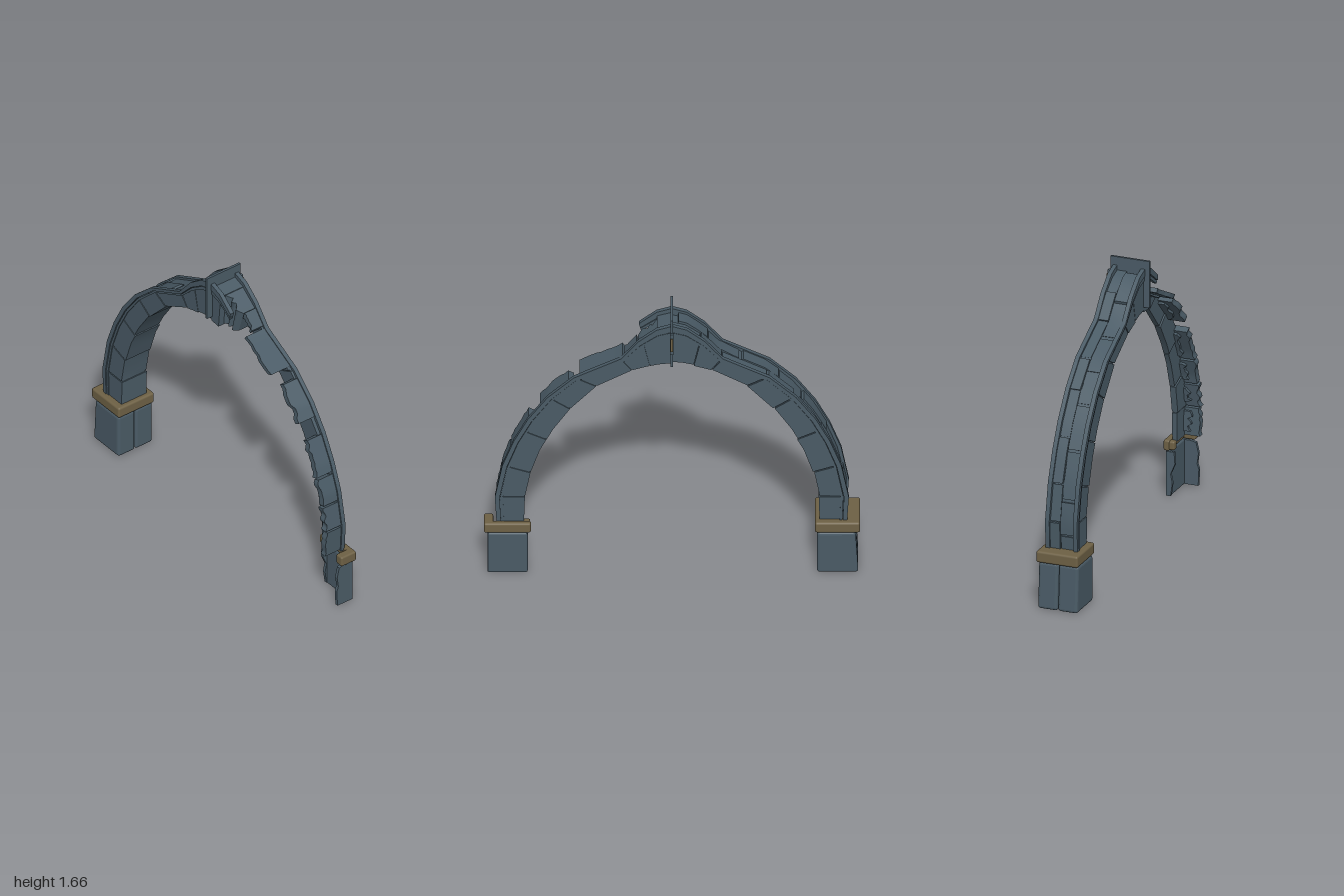
import * as THREE from 'three';
import { RoundedBoxGeometry } from 'three/addons/geometries/RoundedBoxGeometry.js';

const slate = new THREE.MeshStandardMaterial({ color: 0x4a5b66, side: THREE.DoubleSide });
slate.name = 'slate stone';
const ochre = new THREE.MeshStandardMaterial({ color: 0x6e6145, side: THREE.DoubleSide });
ochre.name = 'ochre stone';

// matching stations of the outer and inner arch curves, springing to apex
const OUTER = [[.93, .31], [.94, .48], [.90, .69], [.84, .85], [.765, .995], [.66, 1.14],
  [.52, 1.27], [.27, 1.395], [.175, 1.51], [.08, 1.585], [0, 1.61]];
const INNER = [[.785, .31], [.78, .48], [.75, .64], [.70, .79], [.63, .925], [.54, 1.06],
  [.40, 1.21], [.21, 1.315], [.13, 1.34], [.06, 1.355], [0, 1.36]];
const { lerp } = THREE.MathUtils;

// point on the arch: t along the curve, f from outer (0) to inner (1)
function archPoint(side, t, f) {
  const i = Math.min(9, Math.floor(t)), k = t - i;
  const at = (c, a) => lerp(c[i][a], c[i + 1][a], k);
  return [side * lerp(at(OUTER, 0), at(INNER, 0), f), lerp(at(OUTER, 1), at(INNER, 1), f)];
}

let seed = 7;
const rand = () => (seed = (seed * 16807) % 2147483647) / 2147483647;

export function createModel() {
  const model = new THREE.Group();
  const add = (name, geo, mat = slate, x = 0, y = 0, z = 0) => {
    const m = new THREE.Mesh(geo, mat);
    m.name = name;
    m.position.set(x, y, z);
    model.add(m);
    return m;
  };

  // a block bent along the arch, with an optionally broken front edge
  function archStone(name, side, t0, t1, f0, f1, z0, z1, jag = 0) {
    const n = jag ? 8 : Math.max(2, Math.round((t1 - t0) * 2));
    const chips = Array.from({ length: n + 1 }, () => rand() * jag);
    const g = new THREE.BoxGeometry(1, 1, 1, n, 1, 1);
    const p = g.attributes.position;
    for (let i = 0; i < p.count; i++) {
      const u = p.getX(i) + .5, w = p.getZ(i) * side + .5;
      const [x, y] = archPoint(side, lerp(t0, t1, u), lerp(f0, f1, p.getY(i) + .5));
      p.setXYZ(i, x, y, lerp(z0, z1 - chips[Math.round(u * n)], w));
    }
    g.computeVertexNormals();
    return add(name, g);
  }

  // --- whole half (-x): core, voussoirs, two rows of back stones
  const joints = [0, 1, 2, 3.5, 5, 6, 7, 8.2, 10];
  archStone('archCore', -1, 0, 10, .16, .96, -.075, .075);
  for (let j = 0; j < joints.length - 1; j++) {
    const a = joints[j] + .02, b = joints[j + 1] - (j === 7 ? 0 : .02);
    archStone('voussoir', -1, a, b, .24, 1 - .04 * (j % 2), -.083, .083);
    archStone('backStoneRear', -1, a, b, .06 + .05 * (j % 2), .22, -.07, -.012);
    archStone('backStoneFront', -1, Math.max(0, a - .4), b - .44, .11 - .05 * (j % 2), .22, -.008, .07);
    // rear wall of the broken half
    archStone('brokenVoussoir', 1, a, b, .12, 1, -.083, -.055 + .006 * (j % 2));
  }
  archStone('brokenWallCore', 1, 0, 10, .16, .97, -.078, -.06);

  // surviving crown of the broken half
  archStone('crownStone', 1, 9, 10, .1, 1, -.07, .083);
  archStone('crownStoneBroken', 1, 7.9, 9, .12, .98, -.07, .06, .06);

  // --- moulded rims: a proud outer band and a thinner inner band
  for (const [side, front, end] of [[-1, 0, 0], [-1, 1, 0], [1, 0, 0], [1, 1, 8]]) {
    const s = front ? 1 : -1;
    const band = (name, f0, f1, a, b) =>
      archStone(name, side, end, 10, f0, f1, Math.min(s * a, s * b), Math.max(s * a, s * b));
    band('rim', 0, .16, .068, .092);
    band('rimFillet', .18, .27, .068, .088);
  }

  // --- loose back stones left on the broken half: t0, t1, front z
  for (const [a, b, z] of [[.05, .97, .038], [1.03, 1.7, .036], [1.75, 2.6, .036], [2.68, 3.98, .036],
    [4.55, 5.75, .04], [6.1, 7.05, .062], [7.15, 7.85, .01]]) {
    archStone('brokenBackStone', 1, a, b, .05, .3, -.07, z, .018);
    archStone('brokenBackStoneUnder', 1, a + .15, b - .1, .28, .4, -.07, z - .045, .03);
  }

  // --- apex fin with a small boss on its rear edge
  add('apexFin', new THREE.BoxGeometry(.014, .265, .225), slate, 0, 1.523, .006);
  add('apexFinTail', new THREE.BoxGeometry(.012, .06, .03), slate, 0, 1.38, -.088);
  add('apexBoss', new THREE.BoxGeometry(.018, .13, .02), slate, 0, 1.51, -.112);
  add('apexBossInlay', new THREE.BoxGeometry(.014, .08, .01), ochre, 0, 1.51, -.124);

  // --- whole pedestal (-x): two stones, slightly wider at the foot
  const taper = (g) => {
    const p = g.attributes.position;
    for (let i = 0; i < p.count; i++) if (p.getX(i) < 0) p.setX(i, p.getX(i) - .015 * (.5 - p.getY(i) / .262));
    g.computeVertexNormals();
    return g;
  };
  for (const s of [-1, 1])
    add('pedestalStone', taper(new RoundedBoxGeometry(.205, .262, .113, 2, .015)), slate, -.873, .131, s * .058);
  add('pedestalCap', new RoundedBoxGeometry(.24, .065, .24, 2, .012), ochre, -.88, .297, 0);

  // --- broken pedestal (+x): rear wall plus chipped side walls
  add('brokenPedestalRear', new RoundedBoxGeometry(.215, .262, .028, 2, .012), slate, .872, .131, -.101);
  const chippedWall = (name, x, pts) => {
    const shape = new THREE.Shape(pts.map(([z, y]) => new THREE.Vector2(-z, y)));
    const g = new THREE.ExtrudeGeometry(shape, { depth: .018, bevelEnabled: false });
    g.rotateY(Math.PI / 2);
    add(name, g, slate, x, 0, 0);
  };
  chippedWall('brokenPedestalOuter', .96, [[-.11, .005], [-.008, .005], [-.004, .1], [-.014, .13],
    [-.006, .19], [-.02, .25], [-.05, .258], [-.11, .258]]);
  chippedWall('brokenPedestalInner', .765, [[-.11, .005], [-.085, .005], [-.075, .08], [-.085, .13],
    [-.06, .19], [-.065, .258], [-.11, .258]]);

  // broken cap: rear strip and stubs of the two sides
  add('brokenCapRear', new RoundedBoxGeometry(.25, .06, .035, 2, .01), ochre, .873, .297, -.103);
  add('brokenCapOuter', new RoundedBoxGeometry(.05, .06, .1, 2, .01), ochre, .973, .297, -.07);
  add('brokenCapInner', new RoundedBoxGeometry(.04, .05, .06, 2, .01), ochre, .772, .297, -.088);

  return model;
}
